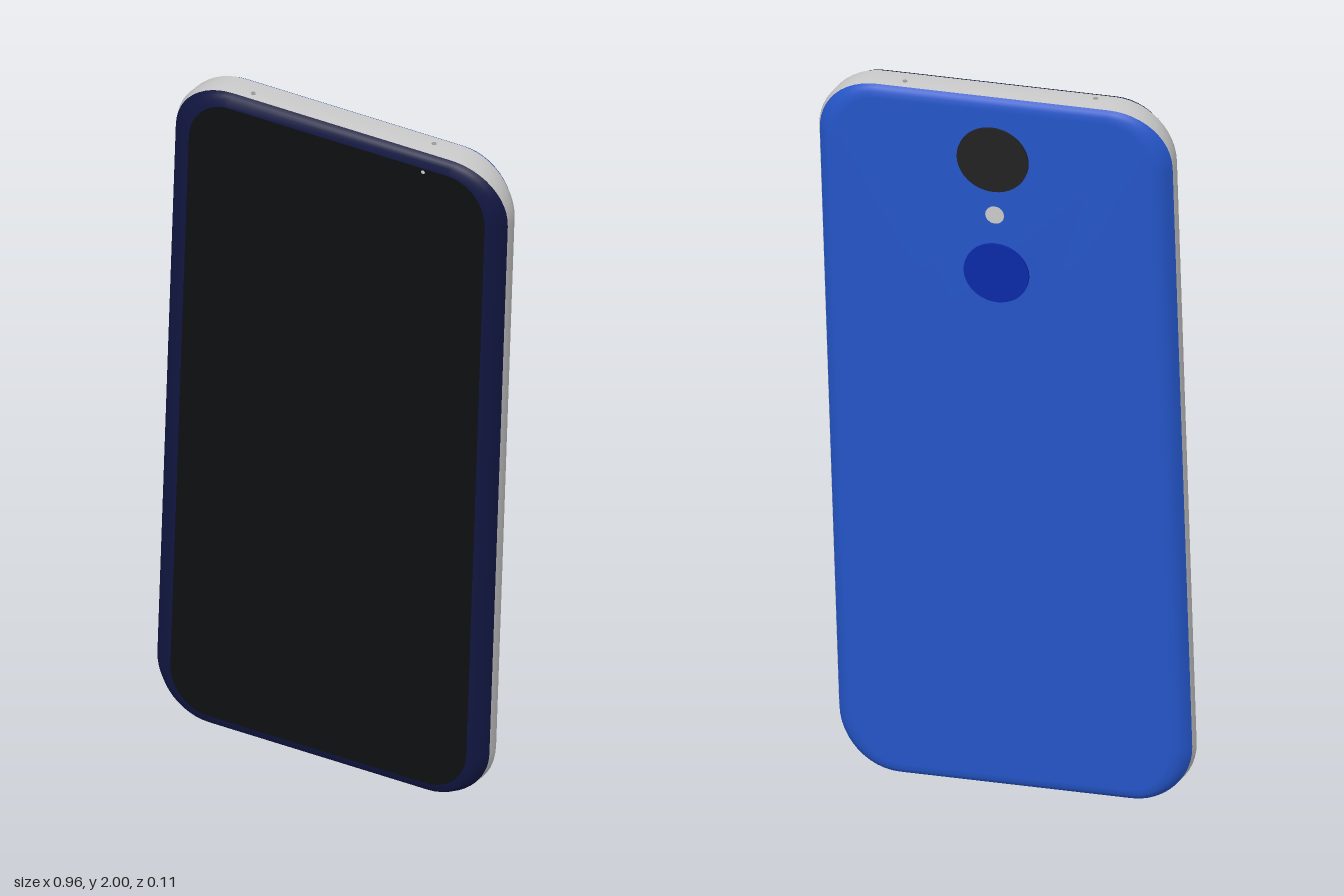
import * as THREE from 'three';

const W = 0.455, H = 0.991, R = 0.16; // half width, half height, corner radius
const STEPS = 12;

const mat = (color) => new THREE.MeshStandardMaterial({ color, roughness: 0.6 });

// Rounded outline: the long sides and the short ends have their own inset and depth
function ring([insetSide, insetEnd, zSide, zEnd]) {
  const pts = [];
  for (let corner = 0; corner < 4; corner++) {
    const sx = corner === 0 || corner === 3 ? 1 : -1;
    const sy = corner < 2 ? 1 : -1;
    for (let i = 0; i <= STEPS; i++) {
      const a = (corner + i / STEPS) * Math.PI / 2;
      const w = Math.sin(a) ** 2;
      pts.push([
        sx * (W - R) + (R - insetSide) * Math.cos(a),
        sy * (H - R) + (R - insetEnd) * Math.sin(a),
        zSide + (zEnd - zSide) * w,
      ]);
    }
  }
  return pts;
}

// Skin over rings ordered from back to front, with an optional flat cap
function shell(name, color, levels, cap) {
  const rings = levels.map(ring);
  const n = rings[0].length;
  const pos = rings.flat(2);
  const index = [];
  for (let k = 0; k < rings.length - 1; k++) {
    for (let i = 0; i < n; i++) {
      const j = (i + 1) % n;
      const a = k * n + i, b = k * n + j;
      index.push(a, b, b + n, a, b + n, a + n);
    }
  }
  if (cap) {
    const base = cap === 'front' ? (rings.length - 1) * n : 0;
    const centre = rings.length * n;
    pos.push(0, 0, rings[base / n][0][2]);
    for (let i = 0; i < n; i++) {
      const a = base + i, b = base + (i + 1) % n;
      index.push(centre, ...(cap === 'front' ? [a, b] : [b, a]));
    }
  }
  const g = new THREE.BufferGeometry();
  g.setAttribute('position', new THREE.Float32BufferAttribute(pos, 3));
  g.setIndex(index);
  g.computeVertexNormals();
  const mesh = new THREE.Mesh(g, mat(color));
  mesh.name = name;
  return mesh;
}

// Thin round plate; axis is 'y' or 'z'
function disc(name, color, r, t, axis, x, y, z) {
  const g = new THREE.CylinderGeometry(r, r, t, r > 0.05 ? 40 : 16);
  if (axis === 'z') g.rotateX(Math.PI / 2);
  const mesh = new THREE.Mesh(g, mat(color));
  mesh.name = name;
  mesh.position.set(x, y, z);
  return mesh;
}

export function createModel() {
  const model = new THREE.Group();
  model.name = 'phone';
  const body = new THREE.Group();
  body.name = 'body';
  body.position.y = 1;
  body.rotation.z = -0.03; // leans slightly
  model.add(body);

  const bandBack = [0.006, 0.002, -0.018, -0.035];
  const bandFront = [0.006, 0.002, 0.022, 0.03];
  const screenEdge = [0.055, 0.035, 0.052, 0.052];

  // Casing
  body.add(
    shell('backCover', 0x2455c8, [
      [0.06, 0.035, -0.051, -0.051],
      [0.035, 0.018, -0.046, -0.048],
      [0.018, 0.008, -0.034, -0.043],
      bandBack,
    ], 'back'),
    shell('metalBand', 0xcccccc, [bandBack, [0, 0, 0, 0], bandFront]),
    shell('frontBezel', 0x10153f, [
      bandFront,
      [0.018, 0.007, 0.037, 0.041],
      [0.035, 0.016, 0.048, 0.048],
      screenEdge,
    ]),
    shell('screen', 0x0d0f11, [screenEdge], 'front'),
  );

  // Back details
  body.add(
    disc('cameraPlate', 0x222222, 0.091, 0.008, 'z', 0, 0.82, -0.053),
    disc('flash', 0xcccccc, 0.024, 0.004, 'z', 0, 0.66, -0.0515),
    disc('fingerprintSensor', 0x0a2aa8, 0.083, 0.008, 'z', 0, 0.495, -0.053),
  );

  // Front indicator light
  body.add(disc('indicatorLight', 0xcccccc, 0.005, 0.002, 'z', 0.23, 0.945, 0.052));

  // Top microphones
  body.add(
    disc('topMicrophone', 0x999999, 0.006, 0.003, 'y', -0.25, H - 0.001, 0.01),
    disc('topMicrophone', 0x999999, 0.006, 0.003, 'y', 0.23, H - 0.001, -0.01),
  );

  // Bottom ports and speaker slots
  body.add(disc('headphoneJack', 0xcccccc, 0.02, 0.003, 'y', 0.22, -H + 0.0005, 0));
  const slot = new THREE.Shape();
  slot.absarc(0.03, 0, 0.01, -Math.PI / 2, Math.PI / 2);
  slot.absarc(-0.03, 0, 0.01, Math.PI / 2, Math.PI * 1.5);
  const port = new THREE.Mesh(
    new THREE.ExtrudeGeometry(slot, { depth: 0.003, bevelEnabled: false }).rotateX(Math.PI / 2),
    mat(0xcccccc),
  );
  port.name = 'chargingPort';
  port.position.set(0, -H + 0.002, 0);
  body.add(port);
  for (let i = 0; i < 5; i++) {
    const hole = new THREE.Mesh(new THREE.BoxGeometry(0.012, 0.003, 0.03), mat(0x777777));
    hole.name = 'speakerSlot';
    hole.position.set(-0.17 - i * 0.03, -H + 0.0005, 0);
    body.add(hole);
  }
  return model;
}
